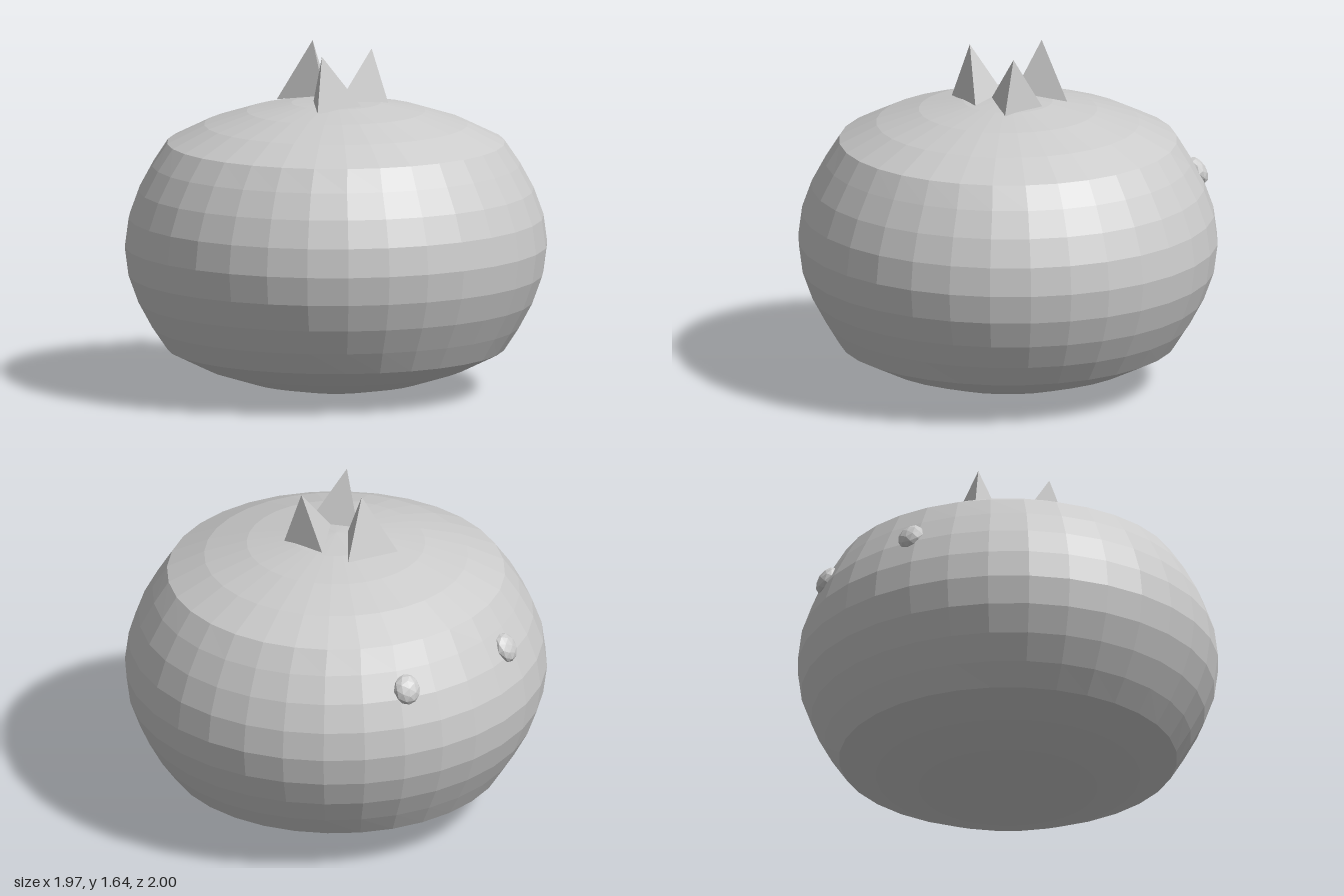
import * as THREE from 'three';

const grey = () => new THREE.MeshStandardMaterial({ color: 0xcccccc, flatShading: true });

// Body ring radii and heights above the middle, from the pole to the equator
const RINGS = [[0, 0.69], [0.21, 0.677], [0.42, 0.638], [0.62, 0.574], [0.795, 0.488],
  [0.87, 0.383], [0.935, 0.264], [0.982, 0.135], [1, 0]];
const MIDDLE = 0.695;

function makeBody() {
  const lower = RINGS.map(([r, h]) => new THREE.Vector2(r, MIDDLE - h));
  const upper = RINGS.slice(0, -1).reverse().map(([r, h]) => new THREE.Vector2(r, MIDDLE + h));
  const geometry = new THREE.LatheGeometry([...lower, ...upper], 32);
  // The belly is slightly narrower from side to side
  const p = geometry.attributes.position;
  for (let i = 0; i < p.count; i++) {
    if (Math.abs(p.getY(i) - MIDDLE) < 0.45) p.setX(i, p.getX(i) * 0.985);
  }
  geometry.computeVertexNormals();
  const body = new THREE.Mesh(geometry, grey());
  body.name = 'body';
  return body;
}

// Three-sided spike: apex and base corners, counter-clockwise seen from above
function makeSpike(apex, a, b, c) {
  const faces = [apex, a, b, apex, b, c, apex, c, a, a, c, b];
  const geometry = new THREE.BufferGeometry();
  geometry.setAttribute('position', new THREE.Float32BufferAttribute(faces.flat(), 3));
  geometry.computeVertexNormals();
  const spike = new THREE.Mesh(geometry, grey());
  spike.name = 'crownSpike';
  return spike;
}

// Flattened eye lying on the sloping body surface
function makeEye(side) {
  const eye = new THREE.Mesh(new THREE.IcosahedronGeometry(1, 1), grey());
  eye.scale.set(0.065, 0.073, 0.042);
  eye.position.set(-0.842, 0.995, side * 0.313);
  eye.lookAt(-0.842 - 0.84, 0.995 + 0.5, side * (0.313 + 0.313));
  eye.name = side > 0 ? 'leftSideEye' : 'rightSideEye';
  eye.name = side > 0 ? 'frontEye' : 'backEye';
  return eye;
}

export function createModel() {
  const model = new THREE.Group();
  model.name = 'roundCreature';
  model.add(makeBody());

  const crown = new THREE.Group();
  crown.name = 'crown';
  crown.add(
    makeSpike([-0.18, 1.645, 0], [-0.3, 1.36, 0.12], [-0.05, 1.4, 0.03], [-0.24, 1.37, -0.14]),
    makeSpike([0.06, 1.62, -0.165], [-0.09, 1.375, -0.17], [0.07, 1.39, 0.03], [0.13, 1.365, -0.21]),
    makeSpike([0.112, 1.62, 0.17], [-0.03, 1.385, 0.11], [0.17, 1.362, 0.24], [0.18, 1.375, -0.01]),
  );
  model.add(crown);

  for (const side of [1, -1]) model.add(makeEye(side));
  return model;
}
